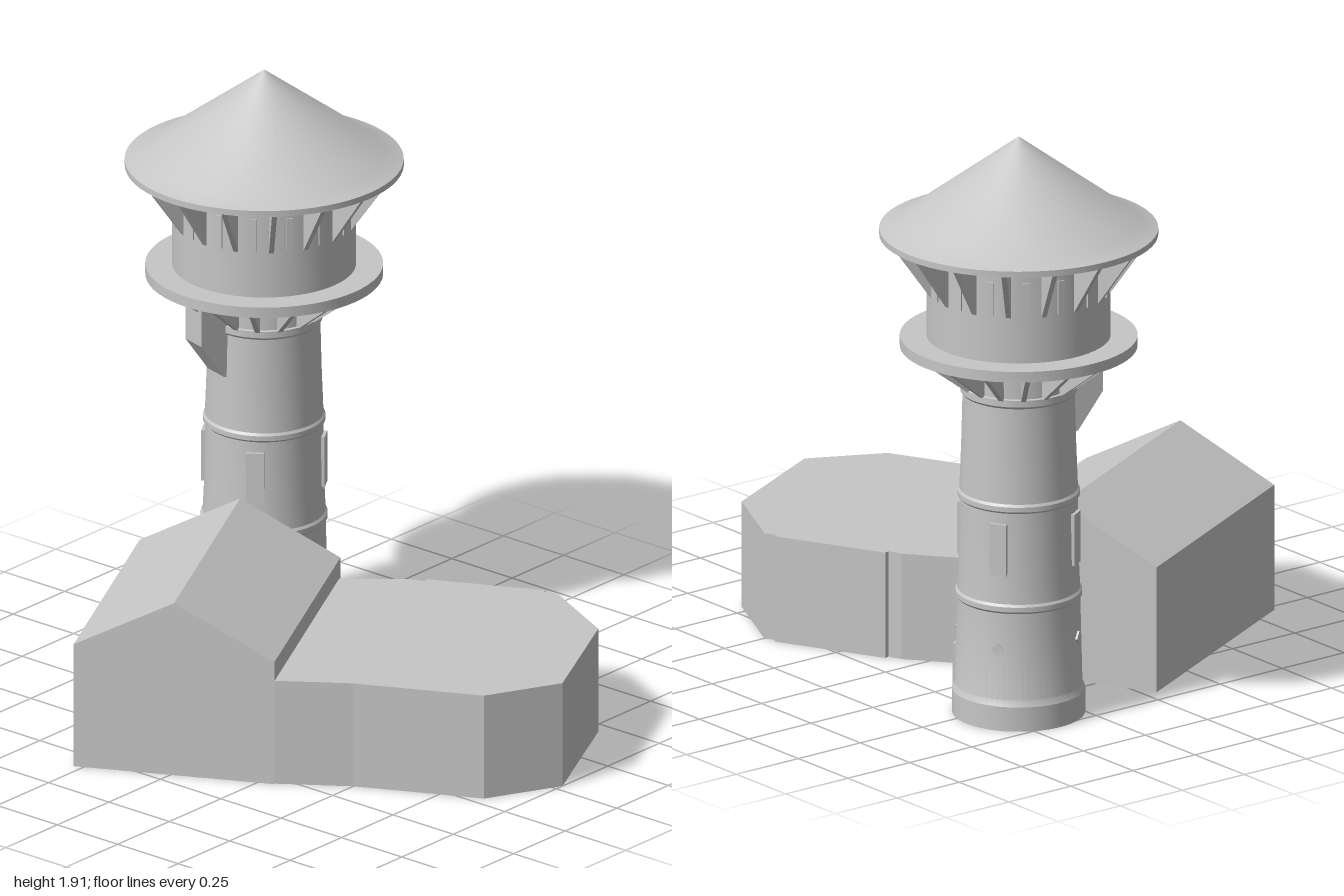
import * as THREE from 'three';
import { toCreasedNormals } from 'three/addons/utils/BufferGeometryUtils.js';

export function createModel() {
  const model = new THREE.Group();
  model.name = 'waterTower';
  const stone = new THREE.MeshStandardMaterial({ color: 0xc6c6c6 });
  stone.name = 'lightGrey';

  const add = (parent, name, geometry) => {
    const mesh = new THREE.Mesh(geometry, stone);
    mesh.name = name;
    parent.add(mesh);
    return mesh;
  };
  const shapeOf = (pts) => new THREE.Shape(pts.map(([x, y]) => new THREE.Vector2(x, y)));
  const extrude = (pts, depth) => new THREE.ExtrudeGeometry(shapeOf(pts), { depth, bevelEnabled: false });
  const lathe = (pts) => toCreasedNormals(
    new THREE.LatheGeometry(pts.map(([r, y]) => new THREE.Vector2(r, y)), 64), 0.4);

  const tower = new THREE.Group();
  tower.name = 'tower';
  tower.position.set(-0.56, 0, -0.41);
  model.add(tower);

  // Angles run from the front (+z) towards +x.
  // Upright plate standing out from the tower; profile is radius, height
  const radialPlate = (name, profile, thickness, angle) => {
    const g = extrude(profile, thickness);
    g.translate(0, 0, -thickness / 2);
    add(tower, name, g).rotation.y = angle - Math.PI / 2;
  };
  // Small panel lying on the tower wall
  const wallPanel = (name, w, h, radius, y, angle, tilt = 0) => {
    const g = new THREE.BoxGeometry(w, h, 0.02);
    g.rotateZ(tilt);
    g.translate(0, y, radius);
    add(tower, name, g).rotation.y = angle;
  };

  // Shaft with plinth and three bands
  add(tower, 'shaft', lathe([
    [0, 0], [0.21, 0], [0.21, 0.08], [0.201, 0.1], [0.194, 0.385], [0.2, 0.392], [0.2, 0.408],
    [0.194, 0.416], [0.19, 0.5], [0.186, 0.715], [0.193, 0.722], [0.193, 0.738], [0.187, 0.746],
    [0.181, 0.9], [0.177, 1.06], [0.184, 1.068], [0.184, 1.09], [0.176, 1.092], [0.176, 1.22], [0, 1.22],
  ]));
  add(tower, 'balcony', lathe([[0, 1.215], [0.375, 1.215], [0.375, 1.25], [0, 1.25]]));
  add(tower, 'tankDrum', lathe([[0, 1.245], [0.29, 1.245], [0.29, 1.59], [0, 1.59]]));
  add(tower, 'roof', lathe([[0, 1.585], [0.44, 1.585], [0.44, 1.605], [0.38, 1.625], [0, 1.908]]));

  // Rings of brackets and the slot windows between the upper ones
  const count = 16;
  for (let i = 0; i < count; i++) {
    const a = (i / count) * Math.PI * 2;
    const half = a + Math.PI / count;
    radialPlate('roofBracket', [[0.28, 1.4], [0.29, 1.4], [0.42, 1.586], [0.28, 1.586]], 0.016, a);
    radialPlate('balconyBracket', [[0.17, 1.085], [0.182, 1.085], [0.355, 1.216], [0.17, 1.216]], 0.016, half);
    wallPanel('slotWindow', 0.022, 0.11, 0.285, 1.46, half);
  }

  // Windows and diamond openings on four sides
  for (let i = 0; i < 4; i++) {
    const a = THREE.MathUtils.degToRad(32 + 90 * i);
    wallPanel('window', 0.056, 0.17, 0.187, 0.595, a);
    wallPanel('lowerDiamond', 0.03, 0.03, 0.193, 0.265, a, Math.PI / 4);
    wallPanel('upperDiamond', 0.03, 0.03, 0.171, 1.14, a, Math.PI / 4);
  }
  wallPanel('door', 0.06, 0.16, 0.201, 0.13, THREE.MathUtils.degToRad(122));

  // Projecting bay below the balcony
  radialPlate('bay', [[0.14, 0.91], [0.185, 0.92], [0.27, 1.04], [0.27, 1.216], [0.14, 1.216]],
    0.09, THREE.MathUtils.degToRad(-15));

  // Gabled house
  const houseLength = 0.9;
  const houseGeometry = extrude([[-0.325, 0], [0.325, 0], [0.325, 0.415], [0, 0.585], [-0.325, 0.415]], houseLength);
  houseGeometry.translate(0, 0, -houseLength / 2);
  const house = add(model, 'house', houseGeometry);
  house.position.set(-0.195, 0, 0.295);
  house.rotation.y = 0.473;

  // Flat-roofed annex; outline is x, z
  const outline = [
    [0.295, 0.545], [0.5, 0.4], [0.88, 0.21], [1, -0.03], [0.79, -0.45], [0.5, -0.59], [0.462, -0.573],
    [0.455, -0.585], [0.11, -0.413], [0.115, -0.397], [0.07, -0.38], [-0.11, -0.235],
  ];
  const annexGeometry = extrude(outline.map(([x, z]) => [x, -z]), 0.35);
  annexGeometry.rotateX(-Math.PI / 2);
  add(model, 'annex', annexGeometry);

  return model;
}
